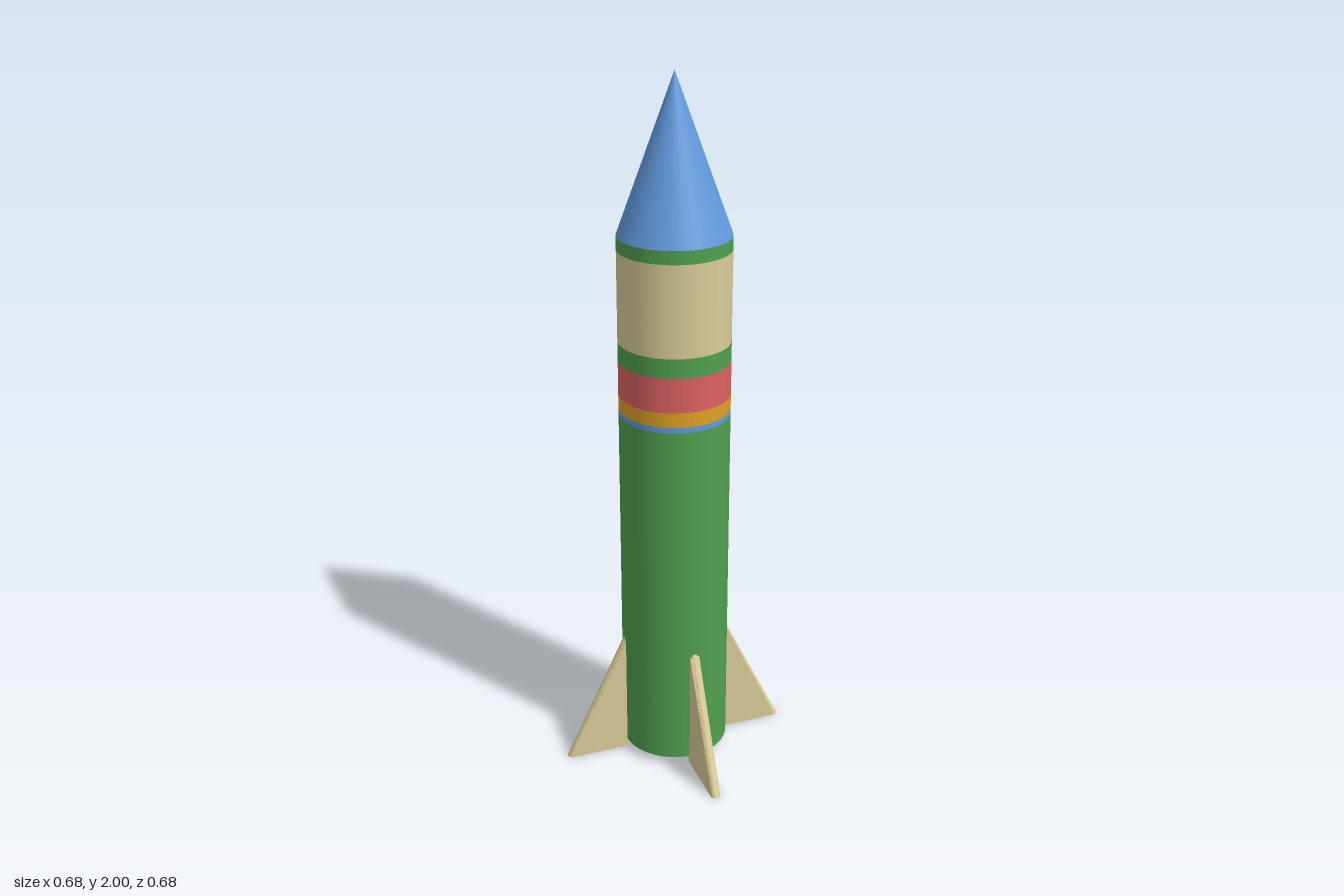
import * as THREE from 'three';

const mat = (name, color) => {
  const m = new THREE.MeshStandardMaterial({ color });
  m.name = name;
  return m;
};

const R = 0.155, INNER = 0.13, BASE = 0.025, TOP = 1.575, SIDES = 64;

// Upright fin pointing along +x: rounded outer edge, raked in toward the body
function finGeometry() {
  const root = 0.145, tip = 0.338, half = 0.014, height = 0.385;
  const plan = new THREE.Shape();
  plan.moveTo(root, -half);
  plan.lineTo(tip - half, -half);
  plan.absarc(tip - half, 0, half, -Math.PI / 2, Math.PI / 2, false);
  plan.lineTo(root, half);
  plan.closePath();
  const geo = new THREE.ExtrudeGeometry(plan, { depth: height, bevelEnabled: false, curveSegments: 10 });
  geo.rotateX(-Math.PI / 2);
  const p = geo.attributes.position;
  for (let i = 0; i < p.count; i++) {
    const x = p.getX(i);
    if (x > root + 0.01) p.setX(i, Math.max(root, x - p.getY(i) * 0.49));
  }
  geo.computeVertexNormals();
  return geo;
}

export function createModel() {
  const group = new THREE.Group();
  const green = mat('green', 0x50a050);
  const tan = mat('tan', 0xd9cc97);
  const red = mat('red', 0xdb6262);
  const orange = mat('orange', 0xdea024);
  const blue = mat('blue', 0x619add);

  const add = (name, geo, material) => {
    const mesh = new THREE.Mesh(geo, material);
    mesh.name = name;
    group.add(mesh);
    return mesh;
  };

  // Body shell in painted bands, from the bottom up
  const bands = [
    ['lowerBody', BASE, 1.072, green],
    ['blueStripe', 1.072, 1.088, blue],
    ['orangeStripe', 1.088, 1.13, orange],
    ['redStripe', 1.13, 1.228, red],
    ['greenStripe', 1.228, 1.283, green],
    ['upperBody', 1.283, 1.538, tan],
    ['collar', 1.538, TOP, green],
  ];
  for (const [name, y0, y1, material] of bands) {
    const geo = new THREE.CylinderGeometry(R, R, y1 - y0, SIDES, 1, true);
    add(name, geo.translate(0, (y0 + y1) / 2, 0), material);
  }

  // Hollow inside: inward-facing wall and the bottom rim
  const inner = [new THREE.Vector2(INNER, TOP - 0.005), new THREE.Vector2(INNER, BASE)];
  add('innerWall', new THREE.LatheGeometry(inner, SIDES), green);
  add('bottomRim', new THREE.RingGeometry(INNER, R, SIDES).rotateX(Math.PI / 2).translate(0, BASE, 0), green);

  // Nose cone
  const noseHeight = 2 - TOP;
  add('noseCone', new THREE.ConeGeometry(R, noseHeight, SIDES, 1).translate(0, TOP + noseHeight / 2, 0), blue);

  // Four fins, each set slightly off the centre line
  const fin = finGeometry();
  const fins = [
    ['leftFin', 0, 0, 0.003],
    ['backFin', Math.PI / 2, -0.005, 0],
    ['rightFin', Math.PI, 0, -0.006],
    ['frontFin', -Math.PI / 2, 0.004, 0],
  ];
  for (const [name, turn, x, z] of fins) {
    const mesh = add(name, fin, tan);
    mesh.rotation.y = turn;
    mesh.position.set(x, 0, z);
  }
  return group;
}
